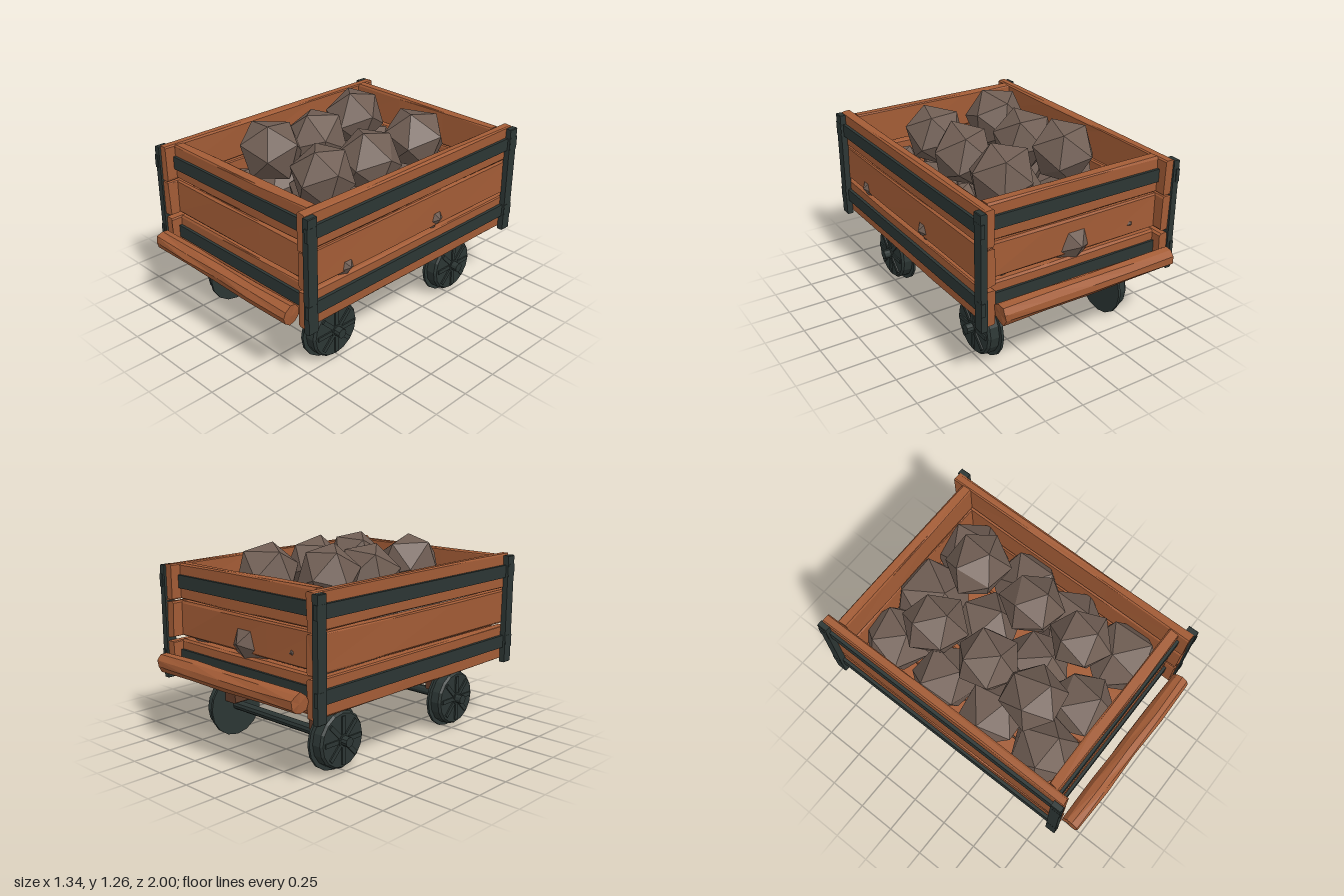
import * as THREE from 'three';

const mat = (name, color, flatShading = true) => {
  const m = new THREE.MeshStandardMaterial({ color, flatShading });
  m.name = name;
  return m;
};

// Repeatable value in -1..1 from a position
const hash = (x, y, z) => {
  const s = Math.sin(x * 127.1 + y * 311.7 + z * 74.7) * 43758.5453;
  return (s - Math.floor(s)) * 2 - 1;
};

// Nudge each corner; corners sharing a position move together
function roughen(geo, amount, seed = 0) {
  const p = geo.attributes.position;
  for (let i = 0; i < p.count; i++) {
    const [x, y, z] = [p.getX(i), p.getY(i), p.getZ(i)].map(v => Math.round(v * 1000) / 1000);
    p.setXYZ(i, p.getX(i) + amount * hash(x + seed, y, z),
      p.getY(i) + amount * hash(x, y + seed + 3, z),
      p.getZ(i) + amount * hash(x, y, z + seed + 7));
  }
  geo.computeVertexNormals();
  return geo;
}

// Chamfered bar running along z, centred on the origin
function bar(w, h, length, chamfer, steps = 1) {
  const a = w / 2, b = h / 2, c = chamfer;
  const shape = new THREE.Shape([[a, -b + c], [a, b - c], [a - c, b], [-a + c, b],
    [-a, b - c], [-a, -b + c], [-a + c, -b], [a - c, -b]].map(q => new THREE.Vector2(...q)));
  return new THREE.ExtrudeGeometry(shape, { depth: length, steps, bevelEnabled: false })
    .translate(0, 0, -length / 2);
}

export function createModel() {
  const model = new THREE.Group();
  model.name = 'mineCart';
  const wood = mat('wood', 0xa35c36);
  const darkWood = mat('darkWood', 0x623c29);
  const iron = mat('iron', 0x2c3634);
  const rock = mat('rock', 0x705e54);

  const add = (name, geo, material, x = 0, y = 0, z = 0, parent = model) => {
    const m = new THREE.Mesh(geo, material);
    m.name = name;
    m.position.set(x, y, z);
    parent.add(m);
    return m;
  };
  const box = (name, w, h, d, material, x, y, z, parent) =>
    add(name, new THREE.BoxGeometry(w, h, d), material, x, y, z, parent);

  // Wall planks, three to a wall
  [0.54, 0.78, 1.01].forEach((y, i) => {
    const h = i === 1 ? 0.217 : 0.219;
    for (const s of [-1, 1]) {
      add('sidePlank', roughen(bar(0.058, h, 1.75, 0.009, 3), 0.004, i + s), wood, s * 0.604, y, 0);
      add('endPlank', roughen(bar(0.07, h, 1.15, 0.009, 3), 0.004, i + s + 5).rotateY(Math.PI / 2),
        wood, 0, y, s * 0.775);
    }
  });

  // Floor boards
  for (let i = 0; i < 5; i++)
    add('floorBoard', roughen(bar(0.226, 0.035, 1.57, 0.006, 3), 0.004, i), wood, (i - 2) * 0.231, 0.43, 0);

  // Iron bands along the walls
  for (const y of [0.55, 1.01]) for (const s of [-1, 1]) {
    box('sideBand', 0.02, 0.08, 1.66, iron, s * 0.643, y, 0);
    box('endBand', 1.15, 0.08, 0.018, iron, 0, y, s * 0.817);
  }

  // Corner posts with a clasp at each band
  for (const sx of [-1, 1]) for (const sz of [-1, 1]) {
    add('cornerPost', bar(0.04, 0.7, 0.066, 0.004), iron, sx * 0.649, 0.76, sz * 0.854);
    for (const y of [0.55, 1.015]) box('clasp', 0.024, 0.08, 0.066, iron, sx * 0.658, y, sz * 0.859);
  }

  // Log bumpers
  for (const s of [-1, 1])
    add('bumperLog', roughen(new THREE.CylinderGeometry(0.06, 0.06, 1.17, 9, 4), 0.005, s)
      .rotateZ(Math.PI / 2), wood, 0, 0.53, s * 0.937);

  // Wheel sets
  for (const z of [-0.53, 0.53]) {
    add('axle', new THREE.CylinderGeometry(0.03, 0.03, 1.12, 10).rotateZ(Math.PI / 2), iron, 0, 0.2, z);
    for (const s of [-1, 1]) {
      add('axleBlock', bar(0.1, 0.168, 0.18, 0.006), darkWood, s * 0.375, 0.329, z);
      const wheel = new THREE.Group();
      wheel.name = 'wheel';
      wheel.position.set(s * 0.42, 0.2, z);
      if (s < 0) wheel.rotation.y = Math.PI;
      model.add(wheel);
      const disc = (name, r1, r2, t, x) =>
        add(name, new THREE.CylinderGeometry(r1, r2, t, 16).rotateZ(-Math.PI / 2), iron, x, 0, 0, wheel);
      disc('flange', 0.197, 0.197, 0.016, 0.008);
      disc('tread', 0.172, 0.172, 0.056, 0.044);
      disc('treadEdge', 0.16, 0.172, 0.014, 0.079);
      disc('hub', 0.04, 0.04, 0.02, 0.088);
      for (let k = 0; k < 8; k++) {
        const spoke = new THREE.BoxGeometry(0.012, 0.105, 0.026).translate(0, 0.092, 0)
          .rotateX(k * Math.PI / 4);
        add('spoke', spoke, iron, 0.089, 0, 0, wheel);
      }
    }
  }

  // Rocks with a corner pointing up: x, y, z, radius, turn
  const rocks = [
    [-0.23, 1.08, -0.36, 0.2, 0.3], [0.23, 1.05, -0.42, 0.205, 0.5], [-0.2, 1.04, 0.02, 0.205, 0.1],
    [0.24, 1.04, 0, 0.205, 0.4], [-0.23, 1.065, 0.36, 0.205, 0.8], [0.23, 1.05, 0.37, 0.2, 0.2],
    [-0.36, 0.74, -0.59, 0.225, 0.2], [0, 0.72, -0.6, 0.265, 0], [0.38, 0.74, -0.59, 0.225, 0.6],
    [-0.37, 0.75, -0.19, 0.225, 0.4], [0.02, 0.78, -0.19, 0.23, 0.9], [0.42, 0.73, -0.18, 0.245, -1.57],
    [-0.37, 0.75, 0.18, 0.225, 0.7], [0.04, 0.78, 0.19, 0.23, 0.1], [0.38, 0.75, 0.19, 0.225, 0.5],
    [-0.37, 0.74, 0.56, 0.22, 0.9], [0, 0.74, 0.56, 0.225, 0.3], [0.42, 0.7, 0.56, 0.245, -1.57],
  ];
  rocks.forEach(([x, y, z, r, turn], i) => {
    const geo = new THREE.IcosahedronGeometry(r, 0).rotateX(-Math.atan(2 / (1 + Math.sqrt(5))));
    add('rock', roughen(geo, 0.012, i).rotateY(turn), rock, x, y, z);
  });

  return model;
}
